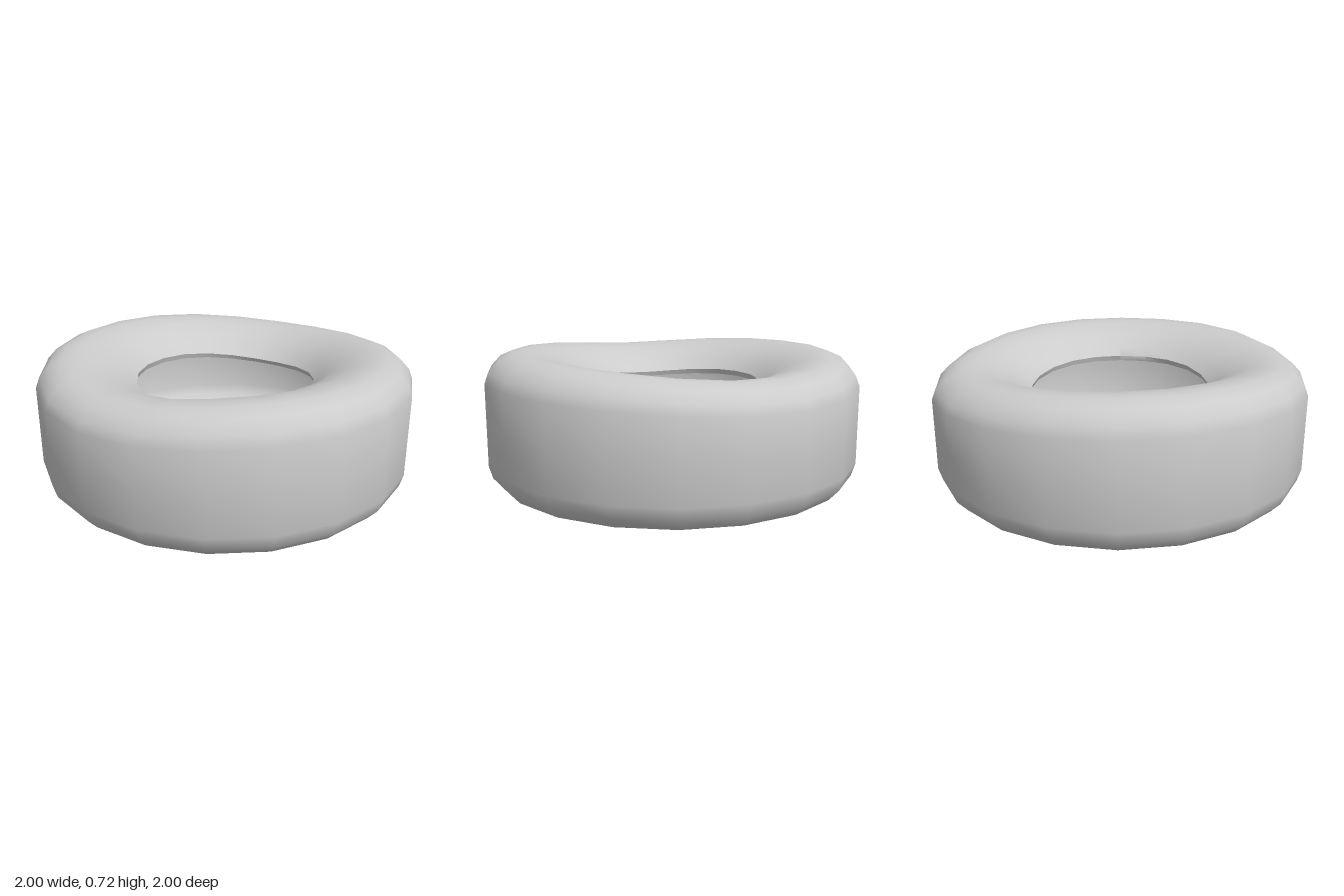
import * as THREE from 'three';
import { mergeVertices, toCreasedNormals } from 'three/addons/utils/BufferGeometryUtils.js';

// Closed cross-section [radius, height]: outer skin from lower bead to upper bead, then the hollow inside.
const PROFILE = [
  [0.48, 0.16], [0.53, 0.11], [0.61, 0.055], [0.71, 0.015], [0.79, 0], [0.85, 0],
  [0.93, 0.03], [0.98, 0.085], [1, 0.15], [1, 0.36], [1, 0.58],
  [0.98, 0.635], [0.93, 0.69], [0.86, 0.72], [0.79, 0.72], [0.71, 0.705],
  [0.61, 0.665], [0.53, 0.61], [0.48, 0.56],
  [0.49, 0.53], [0.55, 0.565], [0.63, 0.61], [0.73, 0.65], [0.83, 0.65],
  [0.9, 0.6], [0.92, 0.54], [0.92, 0.18], [0.9, 0.12], [0.83, 0.07],
  [0.73, 0.07], [0.63, 0.11], [0.55, 0.155], [0.49, 0.19], [0.48, 0.16],
];

// Soft dents in the upper sidewall: [angle from the front, spread, depth], in degrees and units
const DENTS = [[-14, 20, 0.04], [172, 34, 0.065], [-45, 15, 0.012]];

function dentAt(angle) {
  let sum = 0;
  for (const [centre, spread, depth] of DENTS) {
    const d = ((angle - centre + 540) % 360) - 180;
    sum += depth * Math.exp(-0.5 * (d / spread) ** 2);
  }
  return sum;
}

export function createModel() {
  const group = new THREE.Group();
  group.name = 'tyre';

  // Twenty-sided hollow ring
  let geometry = new THREE.LatheGeometry(PROFILE.map(([r, y]) => new THREE.Vector2(r, y)), 20);

  // Sag the upper half by angle
  const p = geometry.attributes.position;
  for (let i = 0; i < p.count; i++) {
    const angle = THREE.MathUtils.radToDeg(Math.atan2(p.getX(i), p.getZ(i)));
    const weight = THREE.MathUtils.smoothstep(p.getY(i), 0.3, 0.7);
    p.setY(i, p.getY(i) - weight * dentAt(angle));
  }

  // Weld the seam; keep only the bead edges sharp
  geometry.deleteAttribute('uv');
  geometry.deleteAttribute('normal');
  geometry = toCreasedNormals(mergeVertices(geometry, 1e-4), 1.1);

  const casing = new THREE.Mesh(geometry, new THREE.MeshStandardMaterial({ color: 0xcccccc }));
  casing.name = 'tyreCasing';
  group.add(casing);
  return group;
}
